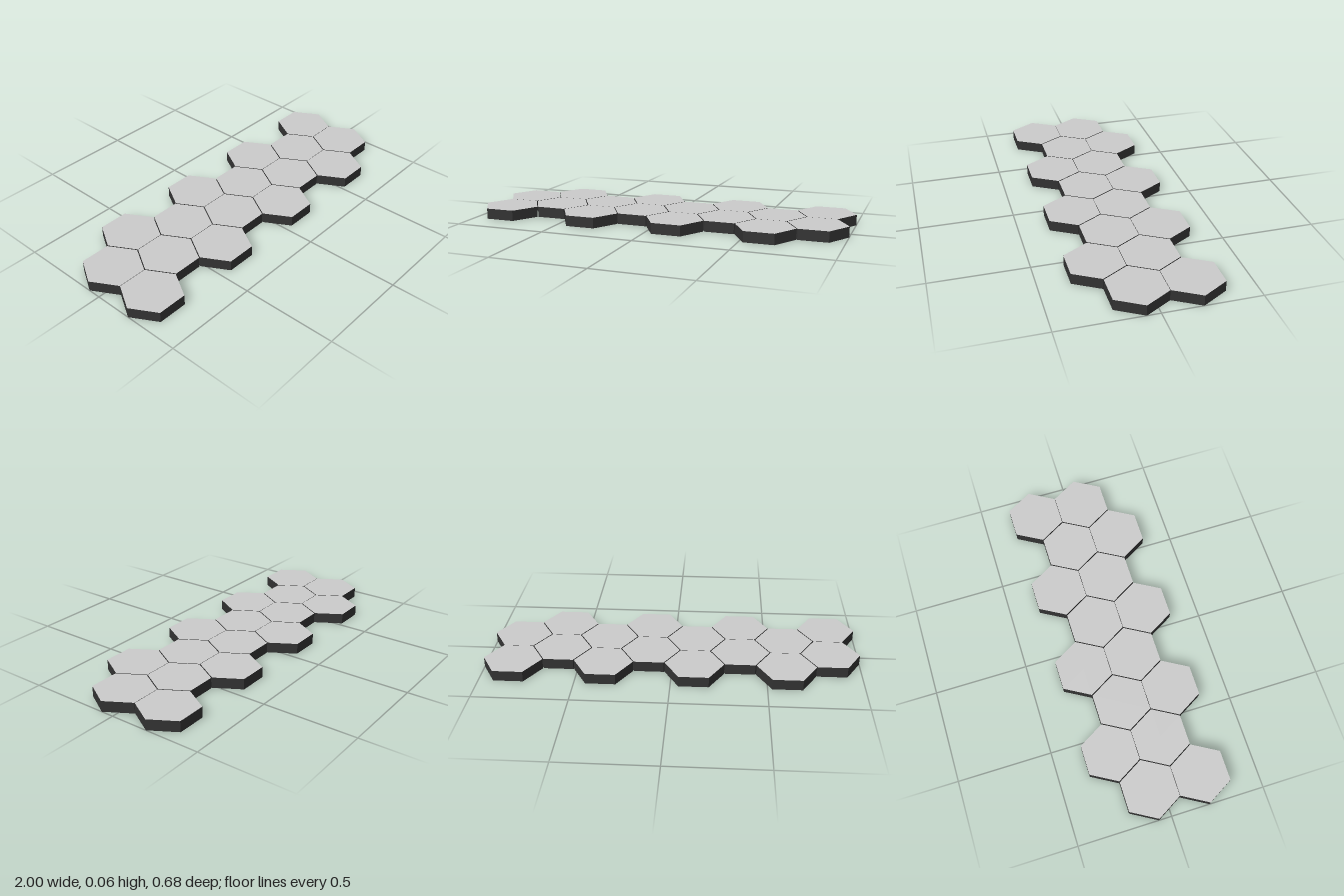
import * as THREE from 'three';

const RADIUS = 0.157;                  // hexagon centre to corner
const HEIGHT = 0.057;
const COLUMNS = 8;
const SPACING = (2 - 2 * RADIUS) / (COLUMNS - 1); // leaves a thin gap between columns
const PITCH = RADIUS * Math.sqrt(3) + 0.002;      // flat-to-flat depth plus a hairline gap

export function createModel() {
  const group = new THREE.Group();
  group.name = 'hexTilePath';

  // Light top face, dark sides and underside
  const top = new THREE.MeshStandardMaterial({ color: 0xcccccc, flatShading: true });
  const dark = new THREE.MeshStandardMaterial({ color: 0x333333, flatShading: true });
  const materials = [dark, top, dark];

  // Hexagonal slab with its corners pointing along x
  const tileGeometry = new THREE.CylinderGeometry(RADIUS, RADIUS, HEIGHT, 6, 1, false, Math.PI / 6);
  tileGeometry.translate(0, HEIGHT / 2, 0);

  // Two tiles per column, alternate columns staggered by half a tile
  for (let column = 0; column < COLUMNS; column++) {
    const shift = (column % 2 === 0 ? 1 : -1) * PITCH / 4;
    for (const side of [-1, 1]) {
      const tile = new THREE.Mesh(tileGeometry, materials);
      tile.name = `hexTile_${column + 1}_${side < 0 ? 'back' : 'front'}`;
      tile.position.set(-1 + RADIUS + column * SPACING, 0, shift + side * PITCH / 2);
      group.add(tile);
    }
  }
  return group;
}
